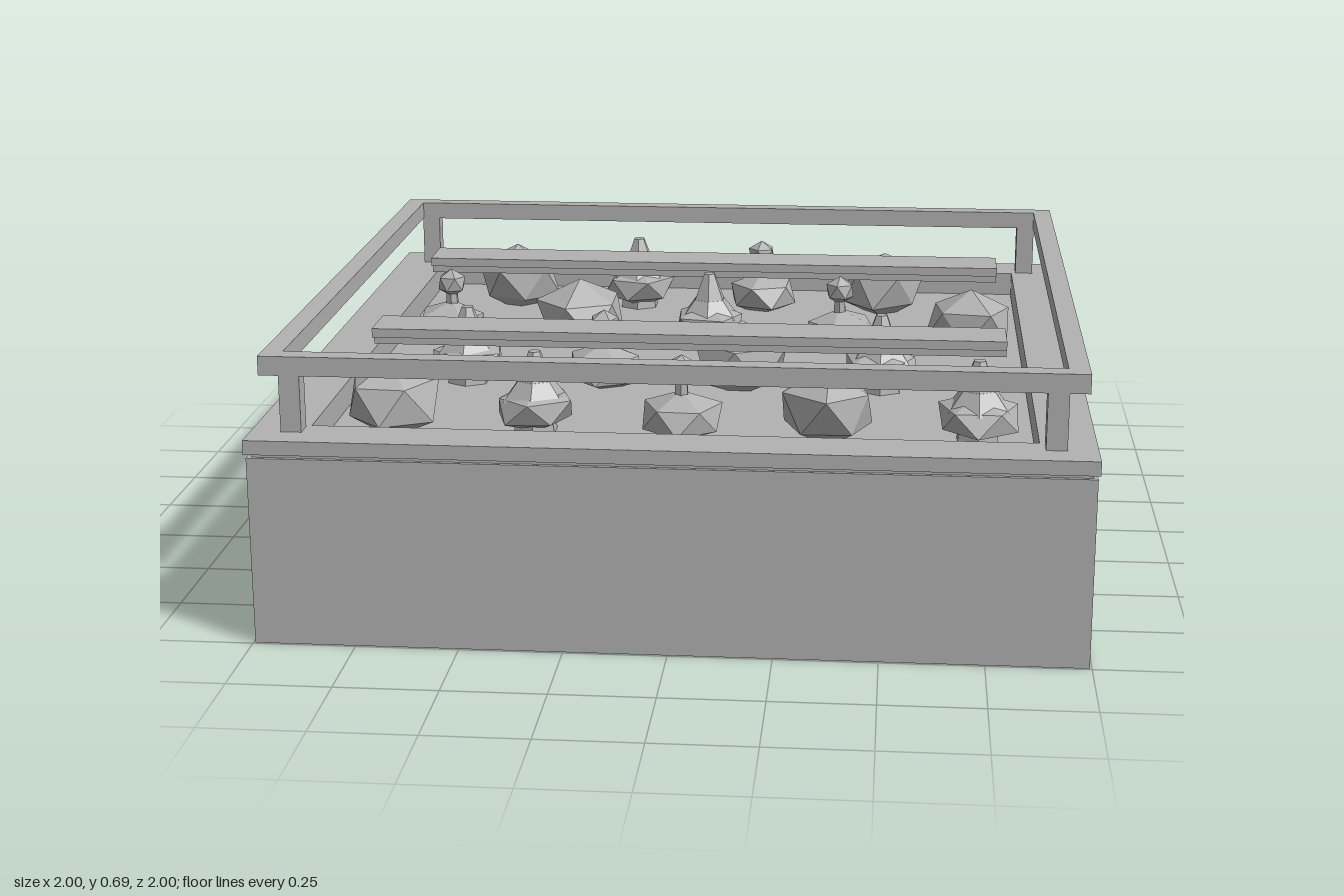
import * as THREE from 'three';

const grey = new THREE.MeshStandardMaterial({ color: 0xb2b2b2 });
grey.name = 'plain grey';

function mesh(name, geometry, parent, x = 0, y = 0, z = 0) {
  const m = new THREE.Mesh(geometry, grey);
  m.name = name;
  m.position.set(x, y, z);
  parent.add(m);
  return m;
}

// Box given by its limits on each axis
function block(name, parent, x0, x1, y0, y1, z0, z1) {
  return mesh(name, new THREE.BoxGeometry(x1 - x0, y1 - y0, z1 - z0), parent,
    (x0 + x1) / 2, (y0 + y1) / 2, (z0 + z1) / 2);
}

// Rectangular ring lying flat, with outer and inner half sizes
function frame(name, parent, ox, oz, ix, iz, y0, y1) {
  const rect = (P, a, b) => new P([[-a, -b], [a, -b], [a, b], [-a, b]].map(p => new THREE.Vector2(...p)));
  const shape = rect(THREE.Shape, ox, oz);
  shape.holes.push(rect(THREE.Path, ix, iz));
  const g = new THREE.ExtrudeGeometry(shape, { depth: y1 - y0, bevelEnabled: false });
  g.rotateX(-Math.PI / 2);
  return mesh(name, g, parent, 0, y0, 0);
}

// Faceted lump with a corner pointing up, roughened by a repeatable rule
function lump(rx, ry, rz, rough, seed) {
  const g = new THREE.IcosahedronGeometry(1, 0);
  g.rotateZ(-Math.atan(2 / (1 + Math.sqrt(5))));
  const p = g.attributes.position;
  const v = new THREE.Vector3();
  for (let i = 0; i < p.count; i++) {
    v.fromBufferAttribute(p, i);
    const key = Math.round(v.x * 50) * 1.7 + Math.round(v.y * 50) * 2.3 + Math.round(v.z * 50) * 3.1;
    const k = 1 + rough * Math.sin(key + seed * 5.3);
    p.setXYZ(i, v.x * rx * k, v.y * ry * (1 + (k - 1) * 0.4), v.z * rz * k);
  }
  g.rotateY(seed * 1.9);
  g.computeVertexNormals();
  return g;
}

function flatCylinder(rTop, rBottom, h, sides) {
  const g = new THREE.CylinderGeometry(rTop, rBottom, h, sides).toNonIndexed();
  g.computeVertexNormals();
  return g;
}

// Leafy head
function addLeafyHead(g, seed) {
  mesh('leaves', lump(0.13, 0.1, 0.125, 0.12, seed), g, 0, 0.52, 0);
}

// Pointed plant: six-sided spire over spreading leaf skirts
function addSpire(g, seed) {
  mesh('spire', flatCylinder(0.016, 0.055, 0.1, 6), g, 0, 0.597, 0);
  mesh('upperSkirt', flatCylinder(0.045, 0.085, 0.05, 6), g, 0, 0.55, 0);
  mesh('lowerSkirt', lump(0.108, 0.06, 0.108, 0.08, seed), g, 0, 0.505, 0);
  mesh('stalk', flatCylinder(0.05, 0.06, 0.07, 6), g, 0, 0.465, 0);
}

// Low mound with a stem and a round fruit
function addFruitPlant(g, seed) {
  mesh('mound', lump(0.108, 0.065, 0.105, 0.08, seed), g, 0, 0.49, 0);
  mesh('stem', flatCylinder(0.015, 0.02, 0.08, 6), g, 0, 0.56, 0);
  mesh('fruit', lump(0.042, 0.04, 0.042, 0, seed), g, 0, 0.606, 0);
}

export function createModel() {
  const model = new THREE.Group();
  model.name = 'planterBox';

  // Container: body, shadow seam, rim and soil bed
  block('body', model, -0.995, 0.995, 0, 0.43, -0.995, 0.995);
  frame('upperWall', model, 0.995, 0.995, 0.865, 0.865, 0.43, 0.465);
  frame('seam', model, 0.985, 0.985, 0.865, 0.865, 0.465, 0.475);
  frame('rim', model, 1, 1, 0.865, 0.865, 0.475, 0.51);
  block('soil', model, -0.864, 0.864, 0.43, 0.445, -0.864, 0.864);

  // Corner trims on the sides, and posts for the rail
  for (const sx of [-1, 1]) {
    for (const sz of [-1, 1]) {
      const trim = new THREE.BoxGeometry(0.008, 0.385, 0.018);
      mesh('sideTrim', trim, model, sx * 0.996, 0.2725, sz * 0.903);
      const post = new THREE.BoxGeometry(0.05, 0.14, 0.05);
      mesh('railPost', post, model, sx * 0.902, 0.58, sz * 0.898);
    }
  }
  frame('topRail', model, 0.975, 0.923, 0.925, 0.873, 0.648, 0.695);

  // Overhead lamp bars
  for (const z of [-0.4, 0.4]) {
    block('lampHousing', model, -0.8, 0.8, 0.625, 0.648, z - 0.068, z + 0.068);
    block('lampStrip', model, -0.8, 0.8, 0.602, 0.625, z - 0.043, z + 0.043);
  }

  // Four rows of plants, three kinds taking turns
  const kinds = [['leafyHead', addLeafyHead], ['spirePlant', addSpire], ['fruitPlant', addFruitPlant]];
  [-0.645, -0.215, 0.215, 0.645].forEach((z, row) => {
    const count = row % 2 ? 5 : 4;
    const start = row % 2 ? -0.72 : -0.6;
    for (let col = 0; col < count; col++) {
      const [name, build] = kinds[(col + row * 2) % 3];
      const plant = new THREE.Group();
      plant.name = name;
      plant.position.set(start + col * 0.362, 0, z);
      build(plant, row * 5 + col + 1);
      model.add(plant);
    }
  });
  return model;
}
